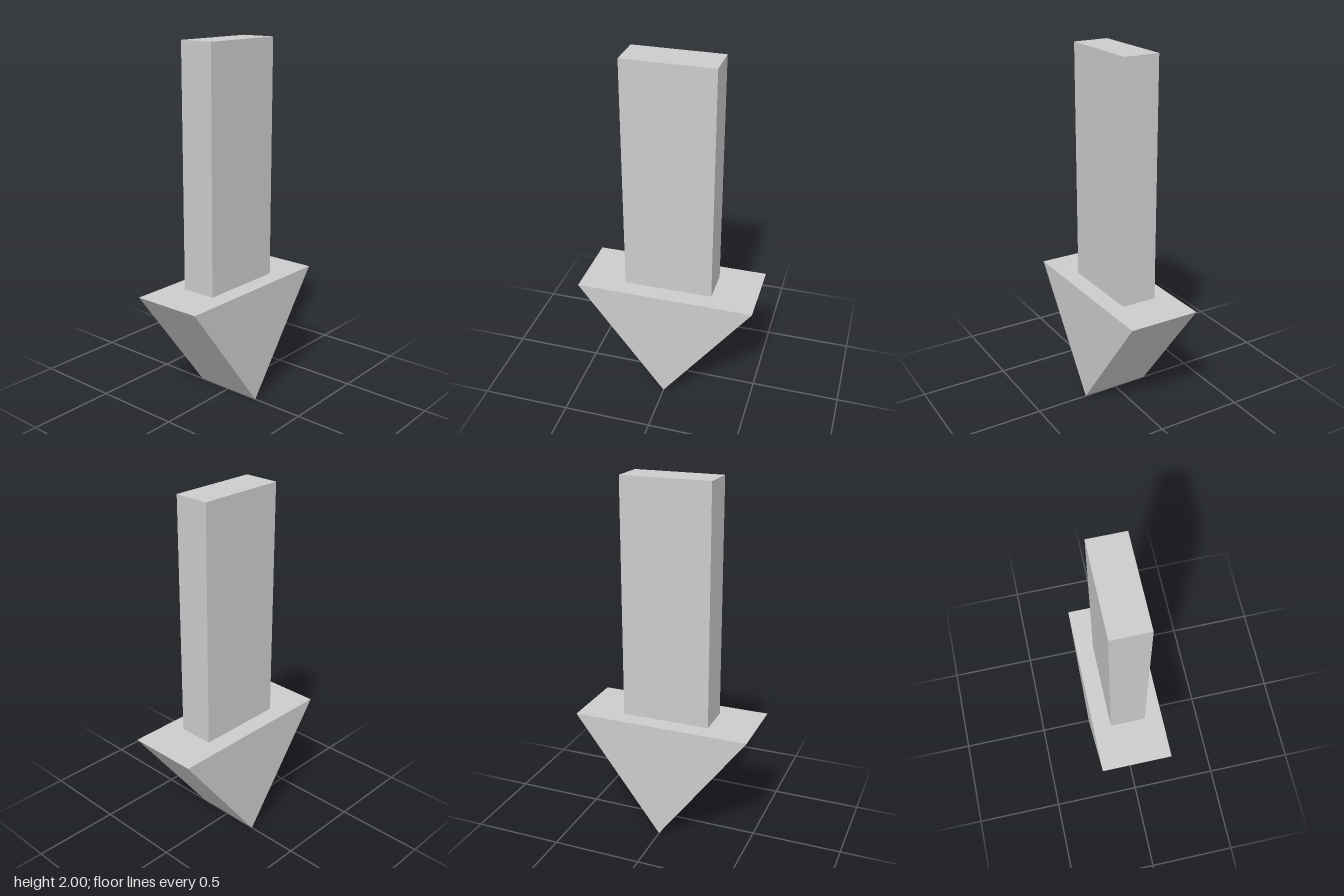
import * as THREE from 'three';

const HEAD_TOP = 0.667;
const TOP = 2;

export function createModel() {
  const model = new THREE.Group();
  model.name = 'downArrow';
  const material = new THREE.MeshStandardMaterial({ color: 0xcccccc, flatShading: true });

  // Shaft: upright slab standing on the head
  const shaft = new THREE.Mesh(new THREE.BoxGeometry(0.5, TOP - HEAD_TOP, 0.2), material);
  shaft.name = 'shaft';
  shaft.position.y = (TOP + HEAD_TOP) / 2;
  model.add(shaft);

  // Head: triangular prism pointing down
  const triangle = new THREE.Shape([
    new THREE.Vector2(0, 0),
    new THREE.Vector2(0.5, HEAD_TOP),
    new THREE.Vector2(-0.5, HEAD_TOP),
  ]);
  const headGeometry = new THREE.ExtrudeGeometry(triangle, { depth: 0.4, bevelEnabled: false });
  headGeometry.translate(0, 0, -0.2);
  const head = new THREE.Mesh(headGeometry, material);
  head.name = 'arrowHead';
  model.add(head);

  return model;
}
